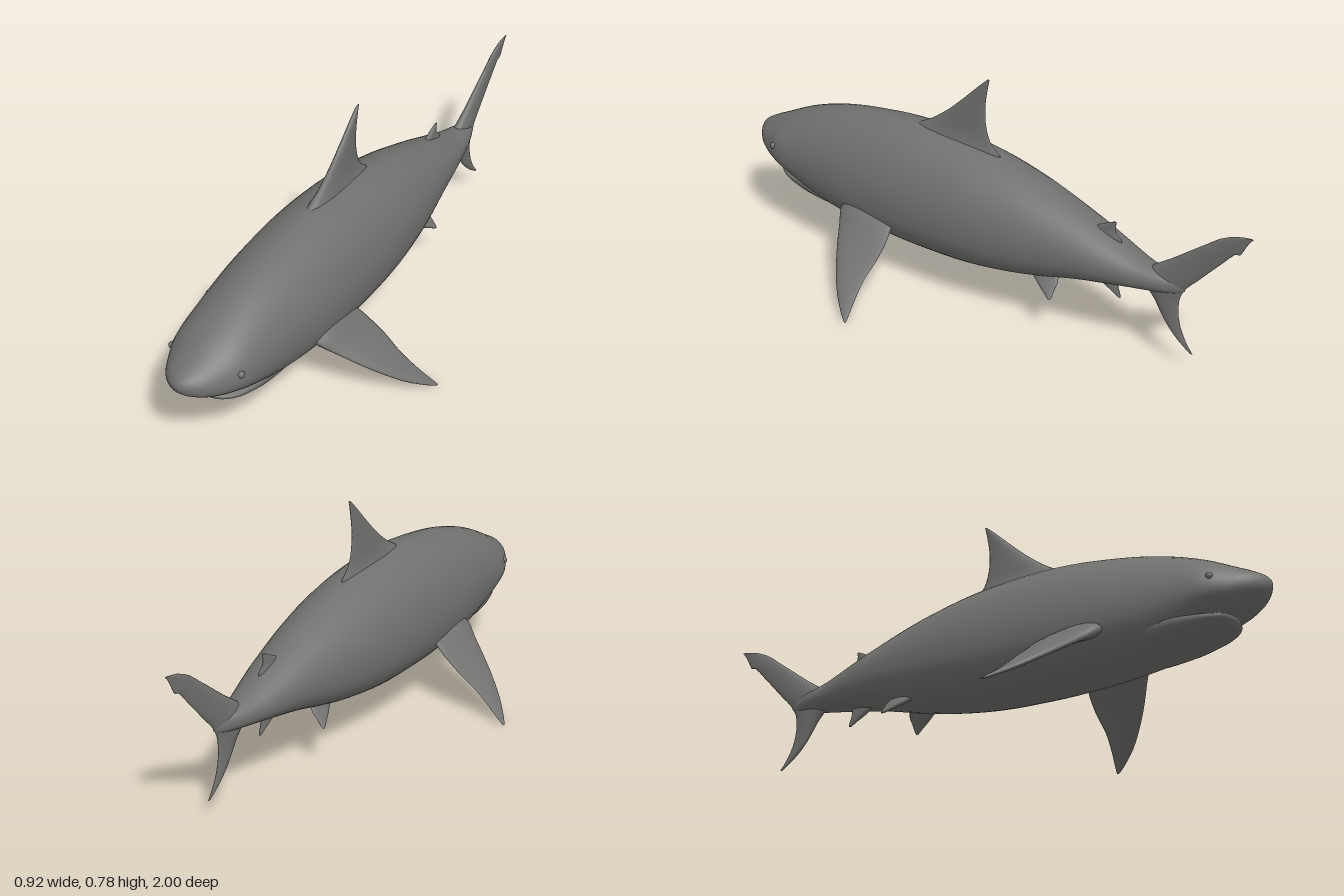
import * as THREE from 'three';

const skin = new THREE.MeshStandardMaterial({ color: 0x70706e });
skin.name = 'grey skin';

// Smoothly resample rows of numbers
function refine(rows, steps) {
  const size = rows[0].length;
  const curve = new THREE.CubicInterpolant(rows.map((_, i) => i), rows.flat(), size, new Array(size));
  const out = [];
  const n = (rows.length - 1) * steps;
  for (let i = 0; i <= n; i++) out.push(Array.from(curve.evaluate(i / steps)));
  return out;
}

// Closed skin over a list of rings, always facing outward
function loft(name, rings) {
  const m = rings[0].length;
  const pts = rings.flat();
  const tri = [];
  for (let i = 0; i < rings.length - 1; i++) {
    for (let j = 0; j < m; j++) {
      const a = i * m + j, b = i * m + (j + 1) % m;
      tri.push([a, b, b + m], [a, b + m, a + m]);
    }
  }
  const last = (rings.length - 1) * m;
  for (const [start, flip] of [[0, true], [last, false]]) {
    const c = new THREE.Vector3();
    for (let j = 0; j < m; j++) c.addScaledVector(pts[start + j], 1 / m);
    const k = pts.push(c) - 1;
    for (let j = 0; j < m; j++) {
      const a = start + j, b = start + (j + 1) % m;
      tri.push(flip ? [b, a, k] : [a, b, k]);
    }
  }
  let volume = 0;
  const n = new THREE.Vector3();
  for (const [a, b, c] of tri) volume += n.crossVectors(pts[b], pts[c]).dot(pts[a]);
  if (volume < 0) tri.forEach((t) => t.reverse());
  const geo = new THREE.BufferGeometry().setFromPoints(pts);
  geo.setIndex(tri.flat());
  geo.computeVertexNormals();
  const mesh = new THREE.Mesh(geo, skin);
  mesh.name = name;
  return mesh;
}

// Egg-shaped body ring: [z, bottom, top, halfWidth, heightOfWidest]
function bodyRing([z, bottom, top, w, mid]) {
  const ring = [];
  const power = (v, e) => Math.sign(v) * Math.abs(v) ** e;
  for (let j = 0; j < 40; j++) {
    const a = (j / 40) * Math.PI * 2;
    const c = Math.cos(a), s = Math.sin(a);
    const x = w * power(c, s > 0 ? 1.08 : 0.8);
    const y = mid + (s > 0 ? (top - mid) * power(s, 1.0) : (mid - bottom) * power(s, 0.85));
    ring.push(new THREE.Vector3(x, y, z));
  }
  return ring;
}

// Fin from sections: [x, y, leadingZ, trailingZ, halfThickness]; normal gives the thin direction
function fin(name, sections, normal = [1, 0], steps = 3) {
  const rings = refine(sections, steps).map(([x, y, lead, trail, t]) => {
    const ring = [];
    for (let j = 0; j < 20; j++) {
      const a = (j / 20) * Math.PI * 2;
      const u = (1 - Math.cos(a)) / 2;
      const h = t * Math.sin(a) * (1.3 - 0.75 * u);
      ring.push(new THREE.Vector3(x + normal[0] * h, y + normal[1] * h, lead + (trail - lead) * u));
    }
    return ring;
  });
  return loft(name, rings);
}

export function createModel() {
  const shark = new THREE.Group();
  shark.name = 'shark';

  // Body from snout tip to tail stalk
  const body = [
    [1.0, 0.322, 0.342, 0.012, 0.332],
    [0.985, 0.3, 0.358, 0.042, 0.327],
    [0.95, 0.278, 0.378, 0.08, 0.318],
    [0.9, 0.256, 0.402, 0.11, 0.312],
    [0.85, 0.242, 0.427, 0.134, 0.312],
    [0.8, 0.222, 0.45, 0.147, 0.312],
    [0.72, 0.188, 0.48, 0.156, 0.312],
    [0.62, 0.16, 0.508, 0.167, 0.311],
    [0.5, 0.144, 0.53, 0.179, 0.308],
    [0.35, 0.134, 0.548, 0.186, 0.306],
    [0.2, 0.13, 0.55, 0.186, 0.306],
    [0.0, 0.136, 0.531, 0.178, 0.308],
    [-0.2, 0.163, 0.487, 0.153, 0.312],
    [-0.4, 0.21, 0.421, 0.113, 0.313],
    [-0.5, 0.229, 0.383, 0.091, 0.305],
    [-0.6, 0.245, 0.347, 0.065, 0.295],
    [-0.68, 0.255, 0.33, 0.042, 0.292],
    [-0.74, 0.265, 0.315, 0.018, 0.29],
    [-0.77, 0.28, 0.305, 0.005, 0.292],
  ];
  shark.add(loft('body', refine(body, 4).map(bodyRing)));

  // Lower jaw set below and behind the snout
  const jaw = [
    [0.885, 0.229, 0.238, 0.02, 0.233],
    [0.872, 0.215, 0.243, 0.062, 0.23],
    [0.84, 0.204, 0.245, 0.092, 0.226],
    [0.79, 0.19, 0.245, 0.113, 0.224],
    [0.7, 0.17, 0.245, 0.13, 0.224],
    [0.58, 0.156, 0.24, 0.13, 0.222],
    [0.48, 0.16, 0.23, 0.11, 0.21],
  ];
  shark.add(loft('lowerJaw', refine(jaw, 4).map(bodyRing)));

  // Main dorsal fin
  shark.add(fin('dorsalFin', [
    [0, 0.49, 0.34, -0.035, 0.04],
    [0, 0.522, 0.33, -0.052, 0.034],
    [0, 0.55, 0.29, -0.02, 0.025],
    [0, 0.58, 0.235, -0.002, 0.018],
    [0, 0.63, 0.168, 0.01, 0.014],
    [0, 0.69, 0.102, 0.011, 0.011],
    [0, 0.745, 0.046, 0.003, 0.008],
    [0, 0.775, 0.014, -0.003, 0.005],
    [0, 0.786, 0.001, -0.006, 0.002],
  ]));

  // Small second dorsal fin and anal fin
  shark.add(fin('secondDorsalFin', [
    [0, 0.355, -0.4, -0.525, 0.018],
    [0, 0.378, -0.405, -0.532, 0.014],
    [0, 0.398, -0.425, -0.512, 0.01],
    [0, 0.42, -0.465, -0.508, 0.007],
    [0, 0.437, -0.5, -0.51, 0.003],
  ]));
  shark.add(fin('analFin', [
    [0, 0.255, -0.41, -0.515, 0.016],
    [0, 0.23, -0.43, -0.523, 0.012],
    [0, 0.205, -0.465, -0.526, 0.009],
    [0, 0.185, -0.502, -0.533, 0.006],
    [0, 0.17, -0.525, -0.535, 0.003],
  ]));

  // Crescent tail with a notch near the upper tip
  shark.add(fin('tailFin', [
    [0, 0.065, -0.802, -0.812, 0.002],
    [0, 0.1, -0.755, -0.786, 0.006],
    [0, 0.14, -0.715, -0.766, 0.009],
    [0, 0.18, -0.687, -0.755, 0.012],
    [0, 0.22, -0.663, -0.752, 0.016],
    [0, 0.26, -0.63, -0.758, 0.022],
    [0, 0.3, -0.612, -0.782, 0.025],
    [0, 0.335, -0.65, -0.815, 0.02],
    [0, 0.38, -0.715, -0.855, 0.014],
    [0, 0.43, -0.78, -0.9, 0.011],
    [0, 0.472, -0.835, -0.938, 0.009],
    [0, 0.478, -0.843, -0.958, 0.008],
    [0, 0.51, -0.885, -0.975, 0.007],
    [0, 0.535, -0.938, -0.99, 0.005],
    [0, 0.545, -0.985, -1.0, 0.002],
  ], [1, 0], 2));

  // Paired fins and eyes
  for (const [side, s] of [['left', 1], ['right', -1]]) {
    shark.add(fin(side + 'PectoralFin', [
      [s * 0.13, 0.245, 0.51, 0.29, 0.034],
      [s * 0.175, 0.222, 0.5, 0.275, 0.026],
      [s * 0.215, 0.19, 0.473, 0.265, 0.018],
      [s * 0.27, 0.148, 0.436, 0.26, 0.014],
      [s * 0.33, 0.102, 0.39, 0.264, 0.012],
      [s * 0.39, 0.055, 0.335, 0.255, 0.009],
      [s * 0.435, 0.021, 0.28, 0.244, 0.006],
      [s * 0.457, 0.005, 0.248, 0.239, 0.002],
    ], [s * 0.62, 0.78]));
    shark.add(fin(side + 'PelvicFin', [
      [s * 0.05, 0.215, -0.215, -0.325, 0.016],
      [s * 0.07, 0.19, -0.235, -0.338, 0.012],
      [s * 0.088, 0.168, -0.272, -0.338, 0.009],
      [s * 0.102, 0.15, -0.308, -0.338, 0.006],
      [s * 0.11, 0.14, -0.326, -0.336, 0.003],
    ], [s * 0.8, 0.6]));
    const eye = new THREE.Mesh(new THREE.SphereGeometry(0.012, 16, 12), skin);
    eye.name = side + 'Eye';
    eye.position.set(s * 0.128, 0.337, 0.85);
    shark.add(eye);
  }
  return shark;
}
